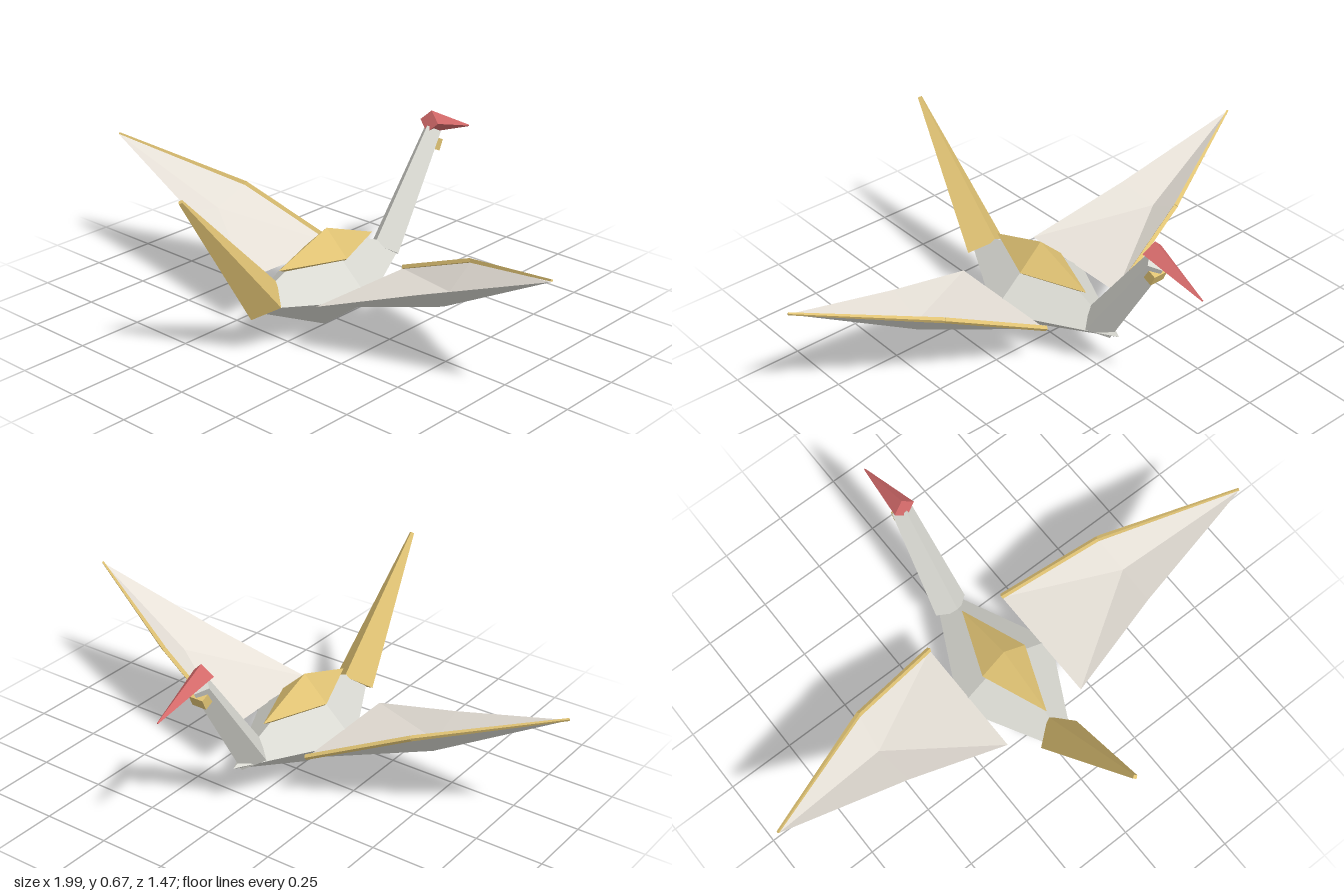
import * as THREE from 'three';

const mat = (name, color) => {
  const m = new THREE.MeshStandardMaterial({ color, flatShading: true });
  m.name = name;
  return m;
};

export function createModel() {
  const paper = mat('grey paper', 0xd9d9d2);
  const wingPaper = mat('warm white paper', 0xe8e2d9);
  const gold = mat('gold', 0xdfc273);
  const red = mat('red', 0xd46a6a);
  const V = (x, y, z) => new THREE.Vector3(x, y, z);
  const model = new THREE.Group();
  model.name = 'foldedCrane';

  const add = (name, geometry, material, parent = model) => {
    const mesh = new THREE.Mesh(geometry, material);
    mesh.name = name;
    parent.add(mesh);
    return mesh;
  };

  // Four-sided tapered bar between two points
  const bar = (name, a, b, ra, rb, material, parent) => {
    const dir = b.clone().sub(a);
    const mesh = add(name, new THREE.CylinderGeometry(rb, ra, dir.length(), 4), material, parent);
    mesh.position.copy(a).add(b).multiplyScalar(0.5);
    mesh.quaternion.setFromUnitVectors(V(0, 1, 0), dir.normalize());
    return mesh;
  };

  // Closed shell: a ring of points joined to an upper and a lower peak
  // (ring runs clockwise seen from above unless flipped)
  const shell = (ring, top, bottom, flip = false) => {
    const pos = [];
    const fan = (peak, reverse) => ring.forEach((p, i) => {
      const q = ring[(i + 1) % ring.length];
      for (const v of reverse ? [peak, q, p] : [peak, p, q]) pos.push(v.x, v.y, v.z);
    });
    fan(top, !flip);
    fan(bottom, flip);
    const g = new THREE.BufferGeometry();
    g.setAttribute('position', new THREE.Float32BufferAttribute(pos, 3));
    g.addGroup(0, ring.length * 3, 0);
    g.addGroup(ring.length * 3, ring.length * 3, 1);
    g.computeVertexNormals();
    return g;
  };

  // Body and the gold cap on its back
  add('body', shell(
    [V(-0.21, 0.155, 0.06), V(0, 0.18, -0.36), V(0.21, 0.155, 0.06), V(0, 0.19, 0.455)],
    V(0, 0.345, 0.06), V(0, 0, 0.06)), paper);
  add('backCap', shell(
    [V(-0.095, 0.275, 0.05), V(0, 0.275, -0.19), V(0.095, 0.275, 0.05), V(0, 0.28, 0.29)],
    V(0, 0.365, 0.05), V(0, 0.19, 0.05)), gold);

  // Tail, neck and head
  bar('tail', V(0, 0.193, 0.362), V(0, 0.66, 0.724), 0.08, 0.009, gold);
  bar('neck', V(0, 0.187, -0.26), V(0, 0.578, -0.522), 0.065, 0.038, paper);
  bar('head', V(0, 0.612, -0.5), V(0, 0.536, -0.735), 0.041, 0.003, red);
  const band = add('throatBand', new THREE.BoxGeometry(0.056, 0.043, 0.05), gold);
  band.position.set(0, 0.529, -0.515);
  band.rotation.x = -0.42;

  // Wings with gold leading edges
  for (const s of [1, -1]) {
    const wing = new THREE.Group();
    wing.name = s > 0 ? 'leftWing' : 'rightWing';
    model.add(wing);
    const root = V(s * 0.165, 0.188, -0.168);
    const elbow = V(s * 0.53, 0.35, -0.08);
    const tip = V(s * 0.995, 0.488, 0.122);
    const ring = [root, elbow, tip, V(s * 0.53, 0.325, 0.2), V(s * 0.165, 0.196, 0.282)];
    add('wingPanel', shell(ring, V(s * 0.545, 0.29, 0.047), V(s * 0.53, 0.235, 0.06), s < 0),
      [wingPaper, paper], wing);
    const lift = V(0, 0.004, -0.003);
    const edge = [root, elbow, tip].map((p) => p.clone().add(lift));
    bar('innerLeadingEdge', edge[0], edge[1], 0.01, 0.01, gold, wing);
    bar('outerLeadingEdge', edge[1], edge[2], 0.01, 0.005, gold, wing);
  }
  return model;
}
